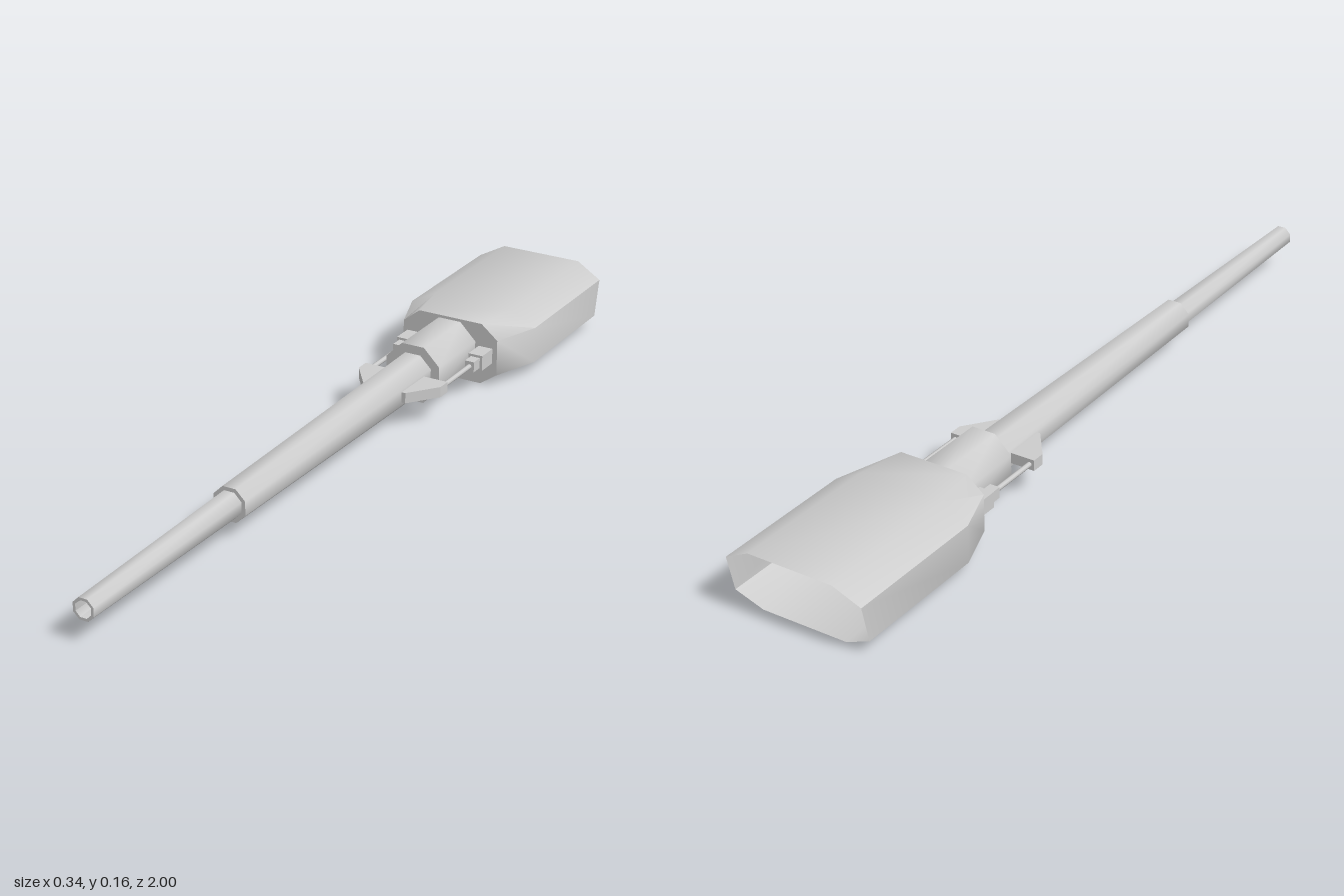
import * as THREE from 'three';
import { toCreasedNormals } from 'three/addons/utils/BufferGeometryUtils.js';

const AXIS_X = -0.002, AXIS_Y = 0.077;
const material = new THREE.MeshStandardMaterial({ color: 0xcccccc, side: THREE.DoubleSide });

function part(name, geometry, parent) {
  const mesh = new THREE.Mesh(geometry, material);
  mesh.name = name;
  parent.add(mesh);
  return mesh;
}

// Octagonal turned part along z; profile is [apothem, z] pairs, flats face x and y
function octagonal(name, profile, parent) {
  const k = 1 / Math.cos(Math.PI / 8);
  const points = profile.map(([r, z]) => new THREE.Vector2(r * k, z));
  const geo = new THREE.LatheGeometry(points, 8, Math.PI / 8);
  geo.rotateX(Math.PI / 2);
  part(name, toCreasedNormals(geo, 1), parent).position.set(AXIS_X, AXIS_Y, 0);
}

// Eight-cornered loop: half width, half width of the flat top, lower and upper side corners
function ring(w, flat, low, high, zAt) {
  return [[flat, 0], [w, low], [w, high], [flat, 0.155], [-flat, 0.155], [-w, high], [-w, low], [-flat, 0]]
    .map(([x, y]) => [x, y, zAt(y)]);
}

function housingGeometry() {
  const rings = [
    ring(0.17, 0.105, 0.03, 0.12, y => -0.963 - 0.037 * y / 0.155),
    ring(0.17, 0.105, 0.03, 0.12, () => -0.63),
    ring(0.128, 0.085, 0.03, 0.12, () => -0.512),
  ];
  const index = [];
  for (let r = 0; r < rings.length - 1; r++) {
    for (let i = 0; i < 8; i++) {
      const a = r * 8 + i, b = r * 8 + (i + 1) % 8;
      index.push(a, b, b + 8, a, b + 8, a + 8);
    }
  }
  // Closed front face, open slanted rear
  for (let i = 1; i < 7; i++) index.push(16, 16 + i, 17 + i);
  const geo = new THREE.BufferGeometry();
  geo.setAttribute('position', new THREE.Float32BufferAttribute(rings.flat(2), 3));
  geo.setIndex(index);
  return toCreasedNormals(geo, 1);
}

function recoilJack(side) {
  const jack = new THREE.Group();
  jack.name = side > 0 ? 'leftRecoilJack' : 'rightRecoilJack';
  const x = side * 0.098;
  const block = (name, w, h, z0, z1) =>
    part(name, new THREE.BoxGeometry(w, h, z1 - z0), jack).position.set(x, 0.078, (z0 + z1) / 2);
  block('jackBase', 0.037, 0.038, -0.52, -0.46);
  block('jackSleeve', 0.024, 0.026, -0.46, -0.43);

  const rod = part('jackRod', new THREE.CylinderGeometry(0.006, 0.006, 0.14, 8).rotateX(Math.PI / 2), jack);
  rod.position.set(x, 0.078, -0.36);

  // Wedge-shaped lug joining the rod to the barrel, drawn in plan and extruded upward
  const plan = [[0.035, 0.298], [0.11, 0.298], [0.11, 0.265], [0.056, 0.193], [0.035, 0.193]]
    .map(([px, pz]) => new THREE.Vector2(side * px, pz));
  const lug = new THREE.ExtrudeGeometry(new THREE.Shape(plan), { depth: 0.026, bevelEnabled: false });
  part('barrelLug', lug.rotateX(-Math.PI / 2), jack).position.y = 0.065;

  jack.position.x = AXIS_X / 2;
  return jack;
}

export function createModel() {
  const gun = new THREE.Group();
  gun.name = 'gunBarrel';

  part('rearHousing', housingGeometry(), gun);
  octagonal('collar', [[0.071, -0.515], [0.071, -0.33], [0.04, -0.33]], gun);
  octagonal('mainBarrel', [[0.049, -0.335], [0.04, 0.47], [0.02, 0.47]], gun);
  // Front barrel with a hollow bore
  octagonal('frontBarrel', [[0.031, 0.465], [0.025, 1], [0.019, 1], [0.016, 0.9], [0, 0.9]], gun);
  for (const side of [1, -1]) gun.add(recoilJack(side));
  return gun;
}
